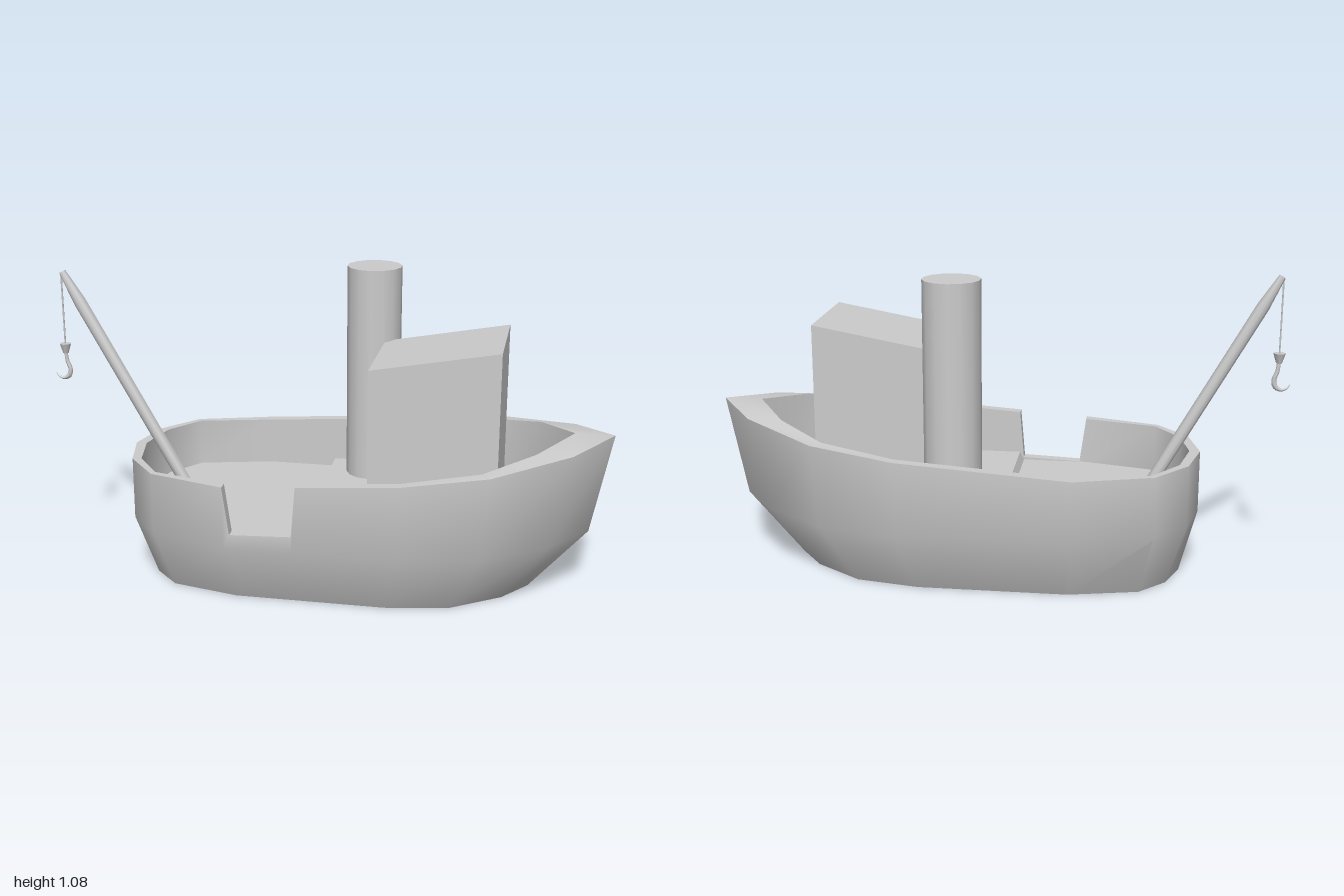
import * as THREE from 'three';
import { toCreasedNormals } from 'three/addons/utils/BufferGeometryUtils.js';

const material = new THREE.MeshStandardMaterial({ color: 0xcccccc, side: THREE.DoubleSide });

function part(name, geometry, parent) {
  const mesh = new THREE.Mesh(geometry, material);
  mesh.name = name;
  parent.add(mesh);
  return mesh;
}

// Half-hull stations from stern to bow. Each level is [x, half width];
// gate is the lowered rail height of the opening on the +z side.
const AFT = 0.275, FORE = 0.305;
function midStation(x, deck, gate) {
  const t = (x + 0.285) / 0.595;
  return {
    top: [x, 0.387], knuckle: [x, 0.387], inner: [x, 0.35],
    bottom: [-0.27 + 0.52 * t, 0.275], rail: 0.445 + 0.042 * t, deck, gate,
  };
}
const stations = [
  { top: [-0.705, 0], knuckle: [-0.705, 0], bottom: [-0.645, 0], inner: [-0.668, 0], rail: 0.445, deck: AFT },
  { top: [-0.665, 0.17], knuckle: [-0.665, 0.17], bottom: [-0.6, 0.125], inner: [-0.635, 0.16], rail: 0.445, deck: AFT },
  { top: [-0.555, 0.305], knuckle: [-0.555, 0.305], bottom: [-0.51, 0.22], inner: [-0.545, 0.285], rail: 0.445, deck: AFT },
  midStation(-0.285, AFT),
  midStation(-0.262, AFT, 0.276),
  midStation(-0.05, AFT, 0.285),
  midStation(-0.035, FORE),
  midStation(0.31, FORE),
  { top: [0.6, 0.335], knuckle: [0.58, 0.325], bottom: [0.47, 0.235], inner: [0.57, 0.295], rail: 0.518, deck: FORE },
  { top: [0.86, 0.175], knuckle: [0.8, 0.165], bottom: [0.64, 0.115], inner: [0.74, 0.175], rail: 0.556, deck: FORE },
  { top: [0.995, 0], knuckle: [0.925, 0], bottom: [0.725, 0], inner: [0.86, 0], rail: 0.58, deck: FORE },
];

// Cross-section from keel up the outside, over the rail and down to the deck
function section(s, side) {
  const rail = side > 0 && s.gate ? s.gate : s.rail;
  const point = ([x, z], y) => new THREE.Vector3(x, y, z * side);
  return [point(s.bottom, 0), point(s.knuckle, 0.225), point(s.top, rail),
    point(s.inner, rail), point(s.inner, s.deck)];
}

function buildSurface(addFaces, crease) {
  const positions = [];
  const triangle = (a, b, c) => {
    const area = b.clone().sub(a).cross(c.clone().sub(a)).length();
    if (area > 1e-7) for (const p of [a, b, c]) positions.push(p.x, p.y, p.z);
  };
  addFaces((a, b, c, d) => { triangle(a, b, c); triangle(a, c, d); });
  const geometry = new THREE.BufferGeometry();
  geometry.setAttribute('position', new THREE.Float32BufferAttribute(positions, 3));
  return toCreasedNormals(geometry, crease);
}

function buildHull(parent) {
  const near = stations.map((s) => section(s, 1));
  const far = stations.map((s) => section(s, -1));
  const loop = [...near, ...far.slice(1, -1).reverse()];

  part('hullAndBulwark', buildSurface((quad) => {
    loop.forEach((a, i) => {
      const b = loop[(i + 1) % loop.length];
      for (let j = 0; j < 4; j++) quad(a[j], b[j], b[j + 1], a[j + 1]);
    });
    // Flat bottom
    for (let i = 0; i < near.length - 1; i++) quad(far[i][0], far[i + 1][0], near[i + 1][0], near[i][0]);
  }, 0.75), parent);

  // Deck with a small step up to the fore part
  part('deck', buildSurface((quad) => {
    for (let i = 0; i < near.length - 1; i++) quad(near[i][4], near[i + 1][4], far[i + 1][4], far[i][4]);
  }, 0.3), parent);
}

function buildCabin(parent) {
  const side = new THREE.Shape([[0.175, 0.3], [0.615, 0.3], [0.615, 0.9], [0.175, 0.82]]
    .map(([x, y]) => new THREE.Vector2(x, y)));
  const geometry = new THREE.ExtrudeGeometry(side, { depth: 0.395, bevelEnabled: false });
  part('cabin', geometry.translate(0, 0, -0.196), parent);
}

function buildCrane(parent) {
  const crane = new THREE.Group();
  crane.name = 'crane';
  parent.add(crane);

  // Leaning boom, tapered near its tip
  const foot = new THREE.Vector3(-0.507, 0.27, 0), tip = new THREE.Vector3(-0.952, 1.067, 0);
  const length = foot.distanceTo(tip);
  const profile = [[0, 0], [0.022, 0], [0.022, length - 0.12], [0.012, length], [0, length]]
    .map(([r, y]) => new THREE.Vector2(r, y));
  const boom = part('boom', toCreasedNormals(new THREE.LatheGeometry(profile, 10), 0.7), crane);
  boom.position.copy(foot);
  boom.quaternion.setFromUnitVectors(new THREE.Vector3(0, 1, 0), tip.clone().sub(foot).normalize());

  // Cable, pulley block and hook
  const x = -0.957;
  part('cable', new THREE.CylinderGeometry(0.003, 0.003, 0.26, 6), crane).position.set(x, 0.925, 0);
  part('hookBlock', new THREE.CylinderGeometry(0.021, 0.01, 0.035, 8), crane).position.set(x, 0.787, 0);
  const curve = new THREE.CatmullRomCurve3([[x, 0.775], [-0.953, 0.74], [-0.943, 0.71], [-0.95, 0.685],
    [-0.97, 0.676], [-0.988, 0.682], [-0.998, 0.695]].map(([px, py]) => new THREE.Vector3(px, py, 0)));
  const hook = new THREE.TubeGeometry(curve, 18, 0.009, 8);
  // Thin the hook toward its point
  const pos = hook.attributes.position, p = new THREE.Vector3();
  for (let i = 0; i < pos.count; i++) {
    const t = Math.floor(i / 9) / 18;
    const centre = curve.getPointAt(t);
    const scale = t < 0.6 ? 0.7 + 0.5 * t : 1 - (t - 0.6) * 2.2;
    p.fromBufferAttribute(pos, i).sub(centre).multiplyScalar(scale).add(centre);
    pos.setXYZ(i, p.x, p.y, p.z);
  }
  hook.computeVertexNormals();
  part('hook', hook, crane);
}

export function createModel() {
  const model = new THREE.Group();
  model.name = 'tugboat';
  buildHull(model);
  buildCabin(model);
  part('funnel', new THREE.CylinderGeometry(0.098, 0.098, 0.78, 14), model).position.set(0.126, 0.69, -0.247);
  buildCrane(model);
  return model;
}
